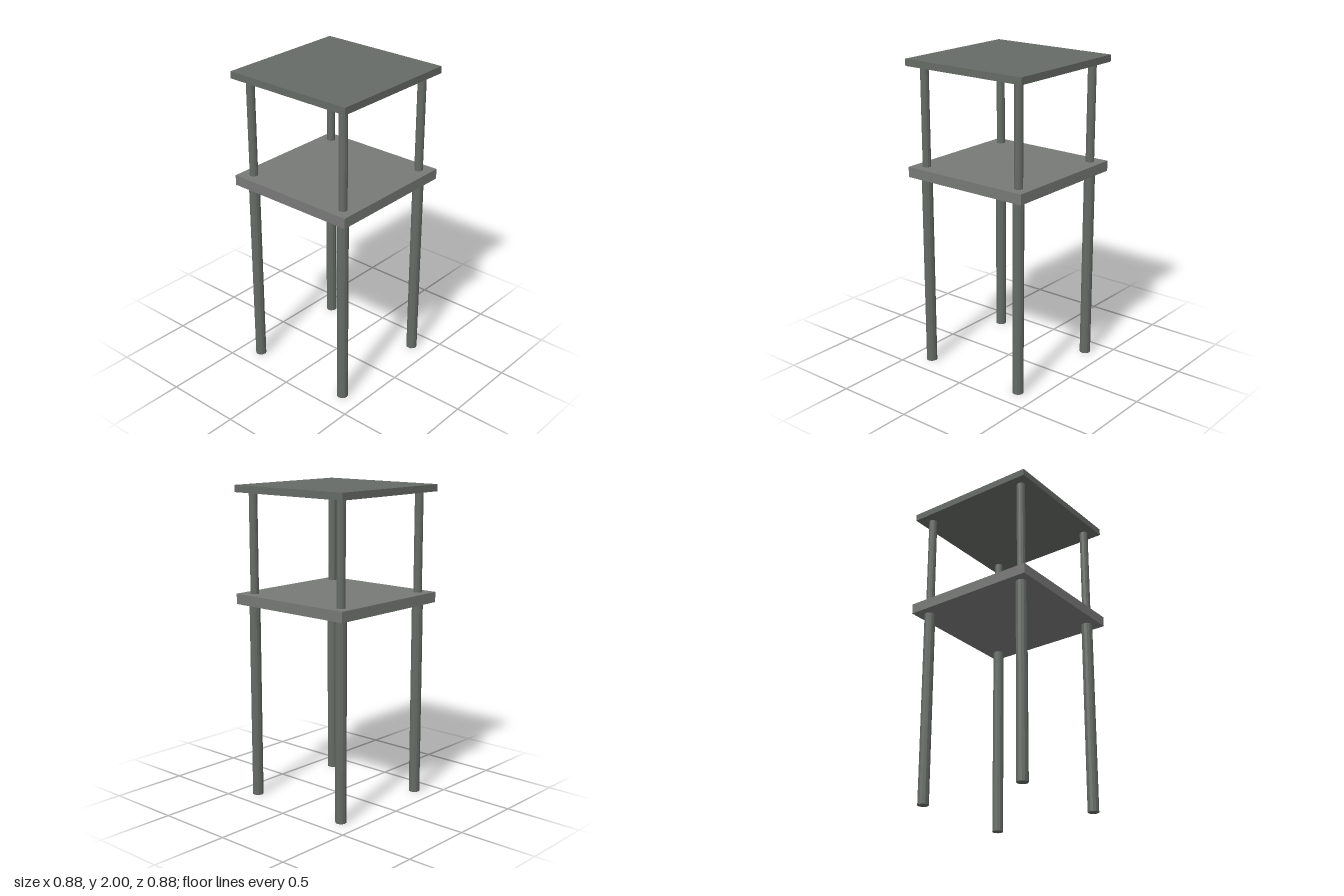
import * as THREE from 'three';

const frameMaterial = new THREE.MeshStandardMaterial({ color: 0x666b66 });
const seatMaterial = new THREE.MeshStandardMaterial({ color: 0x777977 });
const postMaterial = frameMaterial.clone();
postMaterial.flatShading = true;

const WIDTH = 0.884;
const INSET = 0.362;

// Square slab spanning two heights
function slab(name, bottom, top, material) {
  const mesh = new THREE.Mesh(new THREE.BoxGeometry(WIDTH, top - bottom, WIDTH), material);
  mesh.position.y = (bottom + top) / 2;
  mesh.name = name;
  return mesh;
}

// Four round posts, one near each corner
function posts(name, radius, bottom, top) {
  const group = new THREE.Group();
  group.name = name + 's';
  const geometry = new THREE.CylinderGeometry(radius, radius, top - bottom, 12);
  for (const [x, side] of [[-1, 'Right'], [1, 'Left']]) {
    for (const [z, end] of [[1, 'front'], [-1, 'back']]) {
      const mesh = new THREE.Mesh(geometry, postMaterial);
      mesh.position.set(x * INSET, (bottom + top) / 2, z * INSET);
      mesh.name = `${end}${side}${name}`;
      group.add(mesh);
    }
  }
  return group;
}

export function createModel() {
  const model = new THREE.Group();
  model.name = 'twoTierStand';
  model.add(
    posts('Leg', 0.035, 0, 1.26),
    slab('shelf', 1.26, 1.326, seatMaterial),
    posts('UpperPost', 0.027, 1.326, 1.956),
    slab('topPanel', 1.956, 2, frameMaterial)
  );
  return model;
}
